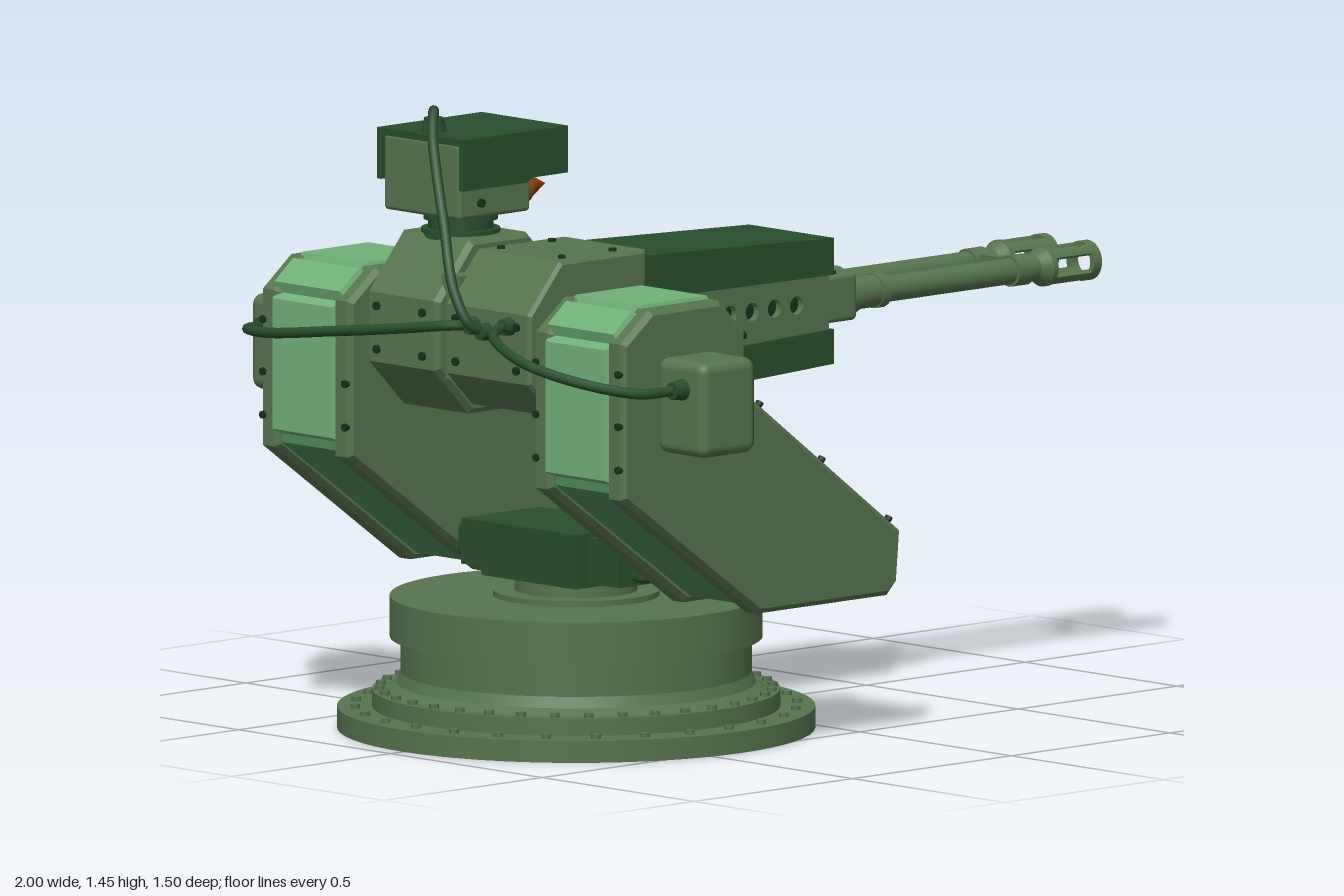
import * as THREE from 'three';
import { RoundedBoxGeometry } from 'three/addons/geometries/RoundedBoxGeometry.js';

const paint = (color) => new THREE.MeshStandardMaterial({ color });
const GREEN = paint(0x56744e), DARK = paint(0x284e2d), LIGHT = paint(0x70b078);
const MID = paint(0x4f8a5a), BLACK = paint(0x16301c), ORANGE = paint(0x8a4a10);

export function createModel() {
  const root = new THREE.Group();
  const add = (name, geo, mat, parent = root) => {
    const m = new THREE.Mesh(geo, mat);
    m.name = name;
    parent.add(m);
    return m;
  };
  // box from min/max ranges
  const box = (name, mat, [x0, x1], [y0, y1], [z0, z1], round = 0) => {
    const s = [x1 - x0, y1 - y0, z1 - z0];
    const g = round ? new RoundedBoxGeometry(...s, 3, round) : new THREE.BoxGeometry(...s);
    add(name, g, mat).position.set((x0 + x1) / 2, (y0 + y1) / 2, (z0 + z1) / 2);
  };
  // cylinder or cone between two points
  const rod = (name, mat, a, b, ra, rb = ra, parent = root, sides = 24) => {
    const A = new THREE.Vector3(...a), B = new THREE.Vector3(...b), d = B.clone().sub(A);
    const m = add(name, new THREE.CylinderGeometry(rb, ra, d.length(), sides), mat, parent);
    m.position.copy(A).add(B).multiplyScalar(0.5);
    m.quaternion.setFromUnitVectors(new THREE.Vector3(0, 1, 0), d.normalize());
  };
  const outline = (pts) => new THREE.Shape(pts.map(([x, y]) => new THREE.Vector2(x, y)));
  // side profile pushed through z, with a small chamfer
  const slab = (name, mat, shape, z0, z1, parent = root, bevel = 0) => {
    const g = new THREE.ExtrudeGeometry(shape, {
      depth: z1 - z0 - 2 * bevel, bevelEnabled: bevel > 0, bevelSize: bevel, bevelThickness: bevel,
      bevelOffset: -bevel, bevelSegments: 1, curveSegments: 10 });
    add(name, g.translate(0, 0, z0 + bevel), mat, parent);
  };
  // raised panel with sloping edges, lying on the clockwise segment a-b of a profile
  const panel = (name, mat, a, b, width, height, parent) => {
    const dx = b[0] - a[0], dy = b[1] - a[1];
    const g = new THREE.BoxGeometry(Math.hypot(dx, dy), height, width), p = g.attributes.position;
    for (let i = 0; i < p.count; i++) if (p.getY(i) > 0) {
      p.setX(i, p.getX(i) - Math.sign(p.getX(i)) * 0.012);
      p.setZ(i, p.getZ(i) - Math.sign(p.getZ(i)) * 0.012);
    }
    g.computeVertexNormals();
    const m = add(name, g, mat, parent);
    m.position.set((a[0] + b[0]) / 2, (a[1] + b[1]) / 2, 0);
    m.rotation.z = Math.atan2(dy, dx);
  };

  // round base with bolt rings
  const cx = -0.415;
  for (const [y0, y1, r0, r1] of [[0, 0.05, 0.545, 0.545], [0.05, 0.09, 0.465, 0.465], [0.09, 0.105, 0.435, 0.41],
    [0.105, 0.13, 0.41, 0.4], [0.13, 0.21, 0.4, 0.4], [0.21, 0.305, 0.425, 0.425], [0.305, 0.318, 0.19, 0.19],
    [0.318, 0.36, 0.14, 0.14]])
    rod('base', GREEN, [cx, y0, 0], [cx, y1, 0], r0, r1, root, 64);
  for (const [n, r, y] of [[28, 0.505, 0.05], [36, 0.448, 0.09]])
    for (let i = 0; i < n; i++) {
      const t = (i / n) * Math.PI * 2, x = cx + r * Math.cos(t), z = r * Math.sin(t);
      rod('baseBolt', GREEN, [x, y, z], [x, y + 0.01, z], 0.011, 0.011, root, 8);
    }

  // cross beam between the arms
  box('crossBeam', DARK, [-0.57, -0.22], [0.35, 0.475], [-0.15, 0.16]);
  for (const s of [-1, 1]) {
    box('beamEnd', DARK, [-0.53, -0.28], [0.36, 0.465], s < 0 ? [-0.26, -0.15] : [0.16, 0.26]);
    box('beamSocket', DARK, [-0.5, -0.3], [0.37, 0.45], s < 0 ? [-0.31, -0.26] : [0.26, 0.31], 0.015);
    rod('beamBolt', BLACK, [-0.23, 0.41, s * 0.09], [-0.213, 0.41, s * 0.09], 0.012);
  }

  // two side arms: plates, a recessed core and raised panels
  const plate = outline([[-0.84, 0.63], [-0.41, 0.325], [0, 0.325], [0.03, 0.355], [0.04, 0.47], [-0.45, 0.84],
    [-0.45, 0.98], [-0.53, 1.06], [-0.75, 1.06], [-0.84, 0.99]]);
  const core = outline([[-0.825, 0.64], [-0.4, 0.34], [-0.01, 0.34], [0.018, 0.362], [0.025, 0.46], [-0.465, 0.832],
    [-0.465, 0.972], [-0.535, 1.045], [-0.745, 1.045], [-0.825, 0.982]]);
  for (const s of [-1, 1]) {
    const arm = new THREE.Group();
    arm.name = s > 0 ? 'leftArm' : 'rightArm';
    arm.position.z = s * 0.45;
    root.add(arm);
    slab('armCore', MID, core, -0.12, 0.12, arm);
    for (const z of [-0.15, 0.09]) slab('armPlate', GREEN, plate, z, z + 0.06, arm, 0.012);
    panel('backPanel', LIGHT, [-0.836, 0.66], [-0.836, 0.985], 0.22, 0.024, arm);
    panel('topPanel', LIGHT, [-0.832, 0.99], [-0.755, 1.053], 0.24, 0.03, arm);
    panel('topPanel', LIGHT, [-0.755, 1.053], [-0.525, 1.053], 0.24, 0.03, arm);
    panel('shoulderPanel', LIGHT, [-0.53, 1.053], [-0.455, 0.98], 0.2, 0.03, arm);
    panel('frontPanel', LIGHT, [-0.458, 0.97], [-0.458, 0.86], 0.14, 0.024, arm);
    const ramp = (u) => [-0.458 + 0.49 * u, 0.834 - 0.37 * u];
    for (const t of [0.16, 0.4, 0.65]) panel('rampPanel', LIGHT, ramp(t), ramp(t + 0.22), 0.14, 0.026, arm);
    panel('nosePanel', LIGHT, [0.029, 0.45], [0.022, 0.36], 0.24, 0.026, arm);
    for (const z of [-0.135, 0.135]) {
      for (const y of [0.88, 0.97]) rod('armBolt', BLACK, [-0.46, y, z], [-0.444, y, z], 0.009, 0.009, arm, 8);
      for (const y of [0.7, 0.8, 0.92]) rod('armBolt', BLACK, [-0.83, y, z], [-0.847, y, z], 0.009, 0.009, arm, 8);
      for (const t of [0.1, 0.5, 0.93]) {
        const x = -0.45 + 0.49 * t, y = 0.84 - 0.37 * t;
        rod('armBolt', BLACK, [x, y, z], [x + 0.006, y + 0.008, z], 0.009, 0.009, arm, 8);
      }
    }
    // sensor pod on the outside of the arm
    box('sensorPod', GREEN, [-0.73, -0.56], [0.73, 0.95], s > 0 ? [0.59, 0.75] : [-0.75, -0.59], 0.025);
    box('podFace', DARK, [-0.57, -0.557], [0.745, 0.935], s > 0 ? [0.605, 0.735] : [-0.735, -0.605]);
    const lenses = s > 0 ? [[0.69, 0.885, 0.03], [0.69, 0.8, 0.03], [0.635, 0.82, 0.015]]
      : [[-0.67, 0.88, 0.054], [-0.635, 0.775, 0.017], [-0.69, 0.775, 0.028]];
    for (const [z, y, r] of lenses) rod('podLens', BLACK, [-0.56, y, z], [-0.552, y, z], r);
    if (s > 0) box('podWindow', BLACK, [-0.56, -0.552], [0.872, 0.905], [0.622, 0.652]);
    rod('podSocket', DARK, [-0.72, 0.885, s * 0.68], [-0.765, 0.885, s * 0.68], 0.026, 0.02);
  }

  // small flare holder on the inner face of the right arm
  rod('flareHolder', DARK, [-0.2, 0.43, -0.28], [-0.05, 0.43, -0.28], 0.02);
  rod('flareTip', ORANGE, [-0.05, 0.43, -0.28], [0.02, 0.43, -0.28], 0.018);

  // centre bodies on the trunnion
  rod('trunnion', GREEN, [-0.63, 0.95, -0.31], [-0.63, 0.95, 0.31], 0.08);
  slab('launcherMount', GREEN, outline([[-0.83, 0.86], [-0.72, 0.75], [-0.6, 0.75], [-0.45, 0.88], [-0.45, 1.06],
    [-0.54, 1.15], [-0.72, 1.15], [-0.83, 1.02]]), -0.26, -0.025, root, 0.012);
  slab('gunReceiver', GREEN, outline([[-0.83, 0.86], [-0.75, 0.78], [-0.46, 0.78], [-0.46, 1.135], [-0.73, 1.135],
    [-0.83, 1.02]]), 0, 0.28, root, 0.008);
  box('bodyLink', GREEN, [-0.8, -0.5], [0.84, 1.08], [-0.04, 0.02]);
  for (const z of [-0.22, -0.07, 0.04, 0.24])
    for (const y of [0.89, 0.99]) rod('bodyBolt', BLACK, [-0.825, y, z], [-0.838, y, z], 0.01, 0.01, root, 8);
  for (const x of [-0.69, -0.53])
    for (const z of [0.04, 0.24]) rod('bodyBolt', BLACK, [x, 1.13, z], [x, 1.142, z], 0.009, 0.009, root, 8);

  // gun housing: covers above and below, pierced side plates between
  slab('upperCover', DARK, outline([[-0.47, 1.02], [0.13, 1.015], [0.13, 1.1], [-0.47, 1.122]]), 0, 0.28);
  slab('lowerCover', DARK, outline([[-0.47, 0.785], [0.13, 0.81], [0.13, 0.89], [-0.47, 0.87]]), 0, 0.28);
  box('gunCore', BLACK, [-0.47, 0.1], [0.86, 1.03], [0.035, 0.255]);
  for (const s of [-1, 1]) {
    const side = outline([[-0.47, 0.86], [0.12, 0.88], [0.12, 1.03], [-0.47, 1.03]]);
    for (const x of s > 0 ? [-0.4, -0.33, -0.26, -0.19, -0.12, -0.05, 0.02] : [-0.12, -0.05, 0.02])
      side.holes.push(new THREE.Path().absarc(x, 0.955, 0.021, 0, Math.PI * 2, true));
    if (s < 0) side.holes.push(outline([[-0.42, 0.9], [-0.42, 1], [-0.18, 1], [-0.18, 0.9]]));
    slab('gunSide', GREEN, side, s > 0 ? 0.25 : 0.01, s > 0 ? 0.272 : 0.04);
  }
  box('feedTray', LIGHT, [-0.4, -0.2], [0.92, 0.96], [0.02, 0.04]);
  box('gunFront', GREEN, [0.09, 0.123], [0.88, 1.025], [0.012, 0.27]);
  box('barrelBlock', GREEN, [0.11, 0.22], [0.9, 1.01], [0.02, 0.265], 0.012);
  for (const y of [0.85, 1.06]) rod('coverBolt', BLACK, [0.12, y, 0.14], [0.138, y, 0.14], 0.011);
  for (const z of [0.045, 0.24]) rod('blockBolt', BLACK, [0.16, 1.005, z], [0.16, 1.016, z], 0.01);

  // twin barrels with slotted muzzles
  const ringPart = (mid, half, x0, x1, z) => {
    const s = new THREE.Shape().absarc(0, 0, 0.046, mid - half, mid + half, false);
    s.absarc(0, 0, 0.033, mid + half, mid - half, true);
    const g = new THREE.ExtrudeGeometry(s, { depth: x1 - x0, bevelEnabled: false, curveSegments: 12 });
    add('muzzle', g.rotateY(Math.PI / 2).translate(x0, 0.95, z), GREEN);
  };
  for (const z of [0.067, 0.207]) {
    for (const [x0, x1, r0, r1] of [[0.2, 0.25, 0.045, 0.045], [0.25, 0.33, 0.037, 0.037], [0.32, 0.345, 0.04, 0.04],
      [0.34, 0.76, 0.03, 0.03], [0.75, 0.8, 0.036, 0.036], [0.8, 0.825, 0.031, 0.031], [0.825, 0.85, 0.031, 0.045],
      [0.85, 0.864, 0.046, 0.046]])
      rod('barrel', GREEN, [x0, 0.95, z], [x1, 0.95, z], r0, r1);
    for (let i = 0; i < 4; i++) {
      ringPart(Math.PI / 4 + (i * Math.PI) / 2, 0.28, 0.86, 0.975, z);
      ringPart((i * Math.PI) / 2, Math.PI / 4, 0.975, 1, z);
    }
  }
  box('barrelBridge', GREEN, [0.765, 0.79], [0.925, 0.975], [0.08, 0.195]);

  // missile launcher on a turntable
  for (const [y0, y1, r] of [[1.14, 1.16, 0.09], [1.16, 1.18, 0.075], [1.18, 1.205, 0.085]])
    rod('launcherTurntable', DARK, [-0.64, y0, -0.145], [-0.64, y1, -0.145], r);
  box('launcherBody', GREEN, [-0.765, -0.54], [1.2, 1.375], [-0.27, -0.018], 0.01);
  box('launcherRoof', DARK, [-0.77, -0.44], [1.372, 1.388], [-0.285, 0]);
  const cheek = outline([[-0.77, 1.27], [-0.57, 1.27], [-0.55, 1.28], [-0.44, 1.28], [-0.44, 1.385], [-0.77, 1.385]]);
  for (const z of [-0.285, -0.014]) slab('launcherCheek', DARK, cheek, z, z + 0.014);
  for (const z of [-0.062, -0.145, -0.228])
    for (const y of [1.25, 1.333]) {
      rod('missileTube', ORANGE, [-0.56, y, z], [-0.525, y, z], 0.039);
      rod('missileTip', ORANGE, [-0.525, y, z], [-0.455, y, z], 0.036, 0.001);
    }
  for (const z of [-0.278, -0.02]) rod('launcherBolt', BLACK, [-0.7, 1.235, z], [-0.7, 1.235, z + 0.01], 0.01);
  rod('cableSocket', DARK, [-0.72, 1.38, -0.15], [-0.72, 1.42, -0.15], 0.03, 0.022);

  // cables
  const cable = (name, pts) => add(name, new THREE.TubeGeometry(
    new THREE.CatmullRomCurve3(pts.map((p) => new THREE.Vector3(...p))), 48, 0.012, 8), DARK);
  cable('launcherCable', [[-0.72, 1.4, -0.15], [-0.73, 1.44, -0.14], [-0.78, 1.38, -0.09], [-0.85, 1.2, 0.02],
    [-0.885, 1.06, 0.09], [-0.87, 0.985, 0.13], [-0.82, 0.97, 0.14]]);
  cable('leftCable', [[-0.75, 0.885, 0.68], [-0.85, 0.885, 0.66], [-0.945, 0.91, 0.56], [-0.986, 0.945, 0.42],
    [-0.95, 0.98, 0.29], [-0.88, 0.99, 0.23], [-0.82, 0.99, 0.215]]);
  cable('rightCable', [[-0.75, 0.885, -0.68], [-0.83, 0.89, -0.65], [-0.885, 0.9, -0.52], [-0.905, 0.93, -0.3],
    [-0.9, 0.96, -0.08], [-0.88, 0.98, 0.06], [-0.82, 0.98, 0.1]]);
  for (const [y, z] of [[0.97, 0.14], [0.99, 0.215], [0.98, 0.1]])
    rod('bodySocket', DARK, [-0.81, y, z], [-0.855, y, z], 0.024, 0.018);
  return root;
}
